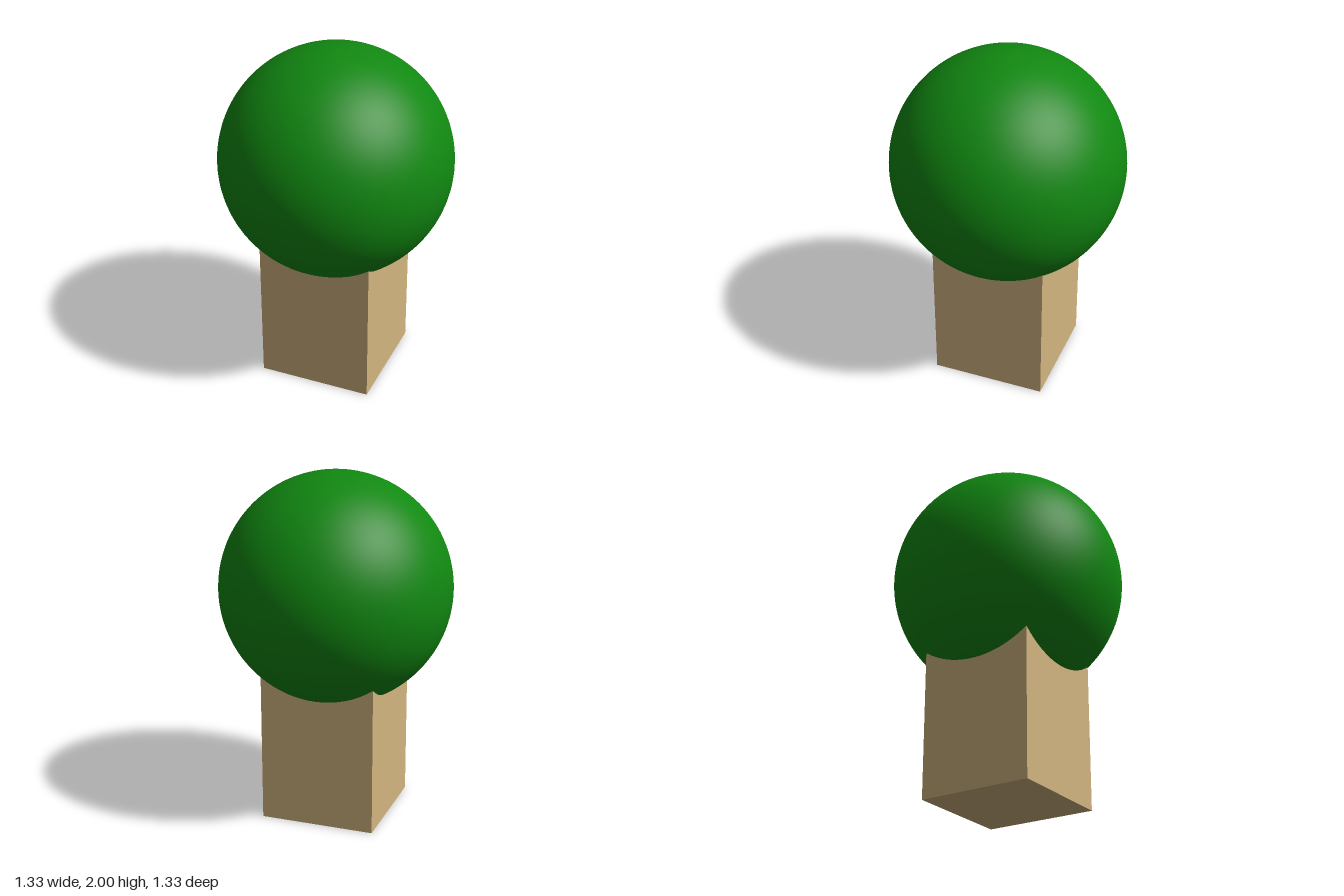
import * as THREE from 'three';

const RADIUS = 2 / 3;
const TRUNK_WIDTH = 2 / 3;
const TRUNK_HEIGHT = 1;

function addPart(group, name, geometry, color, y) {
  const mesh = new THREE.Mesh(geometry, new THREE.MeshStandardMaterial({ color }));
  mesh.name = name;
  mesh.position.y = y;
  group.add(mesh);
}

export function createModel() {
  const tree = new THREE.Group();
  tree.name = 'tree';

  // Square trunk, its top hidden inside the foliage
  addPart(tree, 'trunk', new THREE.BoxGeometry(TRUNK_WIDTH, TRUNK_HEIGHT, TRUNK_WIDTH), 0xd2b580, TRUNK_HEIGHT / 2);

  // Smooth ball of foliage
  addPart(tree, 'foliage', new THREE.SphereGeometry(RADIUS, 96, 64), 0x118811, 2 - RADIUS);

  return tree;
}
